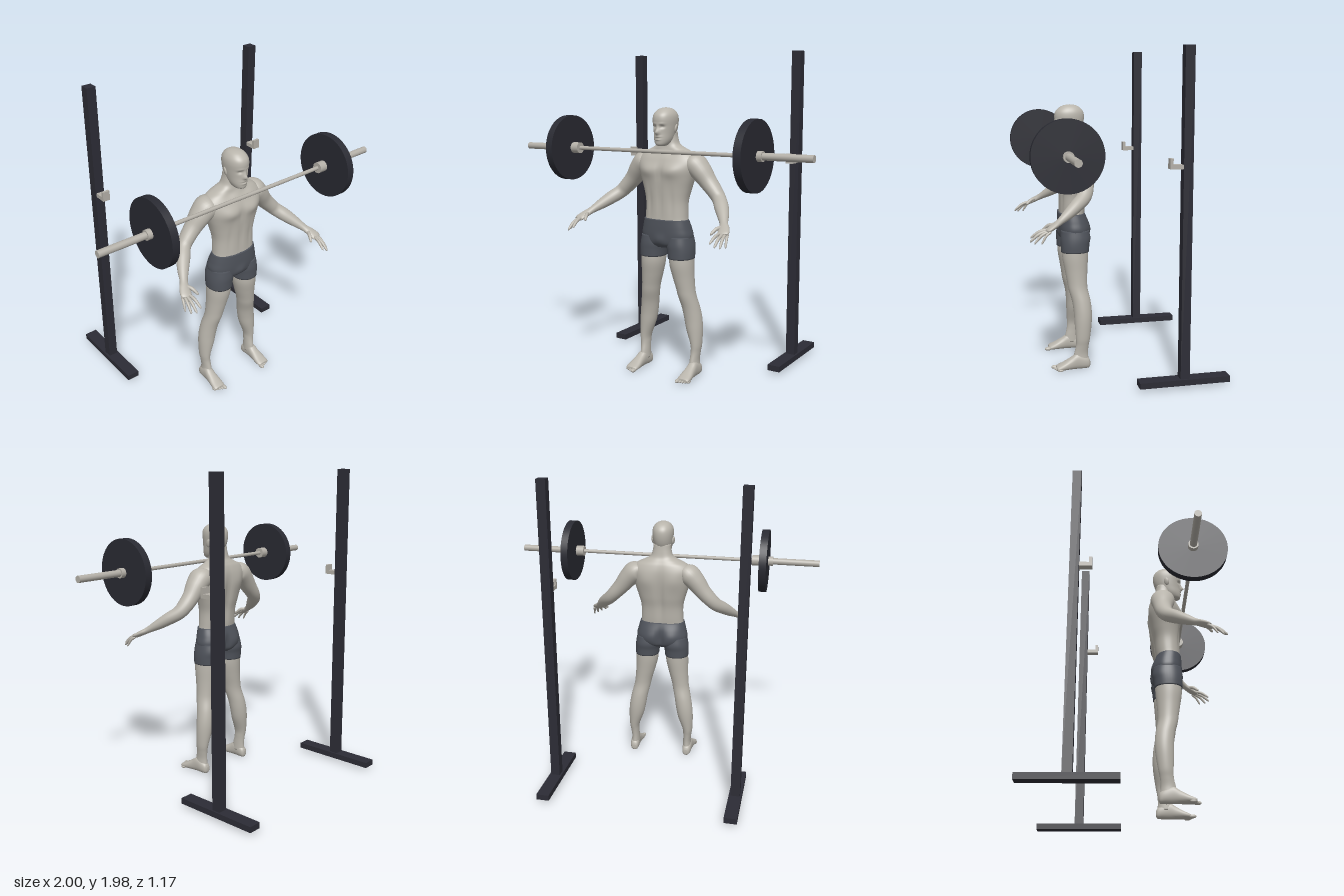
import * as THREE from 'three';

const mat = (name, color) => Object.assign(new THREE.MeshStandardMaterial({ color }), { name });

// Bell-shaped weight, mirrored about x = 0
const bell = (p, cx, cy, sx, sy) =>
  Math.exp(-(((Math.abs(p.x) - cx) / sx) ** 2) - ((p.y - cy) / sy) ** 2);

// Smooth skin through sections [x, y, z, radiusU, radiusV]; axis null follows the path
function loft(secs, { axis = null, n = 2, rows = 6, seg = 24, bump = null } = {}) {
  const curve = (f) => new THREE.CatmullRomCurve3(secs.map(f), false, 'catmullrom', 0.5);
  const centre = curve((s) => new THREE.Vector3(s[0], s[1], s[2]));
  const radius = curve((s) => new THREE.Vector3(s[3], s[4], 0));
  const total = (secs.length - 1) * rows;
  const pos = [], idx = [];
  const e = (v) => Math.sign(v) * Math.abs(v) ** (2 / n);
  for (let i = 0; i <= total; i++) {
    const c = centre.getPoint(i / total), r = radius.getPoint(i / total);
    const w = axis ? axis.clone() : centre.getTangent(i / total);
    const u = new THREE.Vector3(1, 0, 0).addScaledVector(w, -w.x).normalize();
    const v = u.clone().cross(w);
    for (let j = 0; j < seg; j++) {
      const t = (j / seg) * Math.PI * 2, f = Math.sin(t);
      const p = c.clone().addScaledVector(u, r.x * e(Math.cos(t))).addScaledVector(v, r.y * e(f));
      if (bump) p.z += bump(p, Math.max(0, f), Math.max(0, -f));
      pos.push(p.x, p.y, p.z);
      if (i < total) {
        const a = i * seg + j, b = i * seg + ((j + 1) % seg);
        idx.push(a, a + seg, b, b, a + seg, b + seg);
      }
    }
  }
  // End caps
  const first = pos.length / 3, a = centre.getPoint(0), b = centre.getPoint(1);
  pos.push(a.x, a.y, a.z, b.x, b.y, b.z);
  for (let j = 0; j < seg; j++) {
    const k = (j + 1) % seg, o = total * seg;
    idx.push(first, j, k, first + 1, o + k, o + j);
  }
  const g = new THREE.BufferGeometry();
  g.setAttribute('position', new THREE.Float32BufferAttribute(pos, 3));
  g.setIndex(idx);
  g.computeVertexNormals();
  return g;
}

const UP = new THREE.Vector3(0, 1, 0), FWD = new THREE.Vector3(0, 0, 1);
// Level section from height, centre x, half width, back z, front z
const level = ([y, x, rx, zb, zf]) => [x, y, (zb + zf) / 2, rx, (zf - zb) / 2];

export function createModel() {
  const model = new THREE.Group();
  const skin = mat('skin', 0xb9b5ac), cloth = mat('shorts cloth', 0x4f535b);
  const rackPaint = mat('rack paint', 0x2c2c35), rubber = mat('plate rubber', 0x292a32);
  const steel = mat('steel', 0xb3afa7);

  const add = (parent, name, geo, material, x = 0, y = 0, z = 0) => {
    const m = new THREE.Mesh(geo, material);
    m.name = name;
    m.position.set(x, y, z);
    parent.add(m);
    return m;
  };
  const group = (name) => {
    const g = new THREE.Group();
    g.name = name;
    model.add(g);
    return g;
  };
  const box = (w, h, d) => new THREE.BoxGeometry(w, h, d);
  const rod = (r, len, sides = 32) => new THREE.CylinderGeometry(r, r, len, sides).rotateZ(Math.PI / 2);

  // Squat stands
  const rack = group('rack');
  for (const s of [-1, 1]) {
    add(rack, 'standFoot', box(0.08, 0.036, 0.55), rackPaint, s * 0.59, 0.036, -0.31);
    add(rack, 'upright', box(0.058, 1.93, 0.056), rackPaint, s * 0.59, 1.015, -0.31);
    add(rack, 'hookArm', box(0.046, 0.025, 0.076), steel, s * 0.59, 1.308, -0.245);
    add(rack, 'hookLip', box(0.046, 0.06, 0.018), steel, s * 0.59, 1.326, -0.214);
  }

  // Barbell
  const barbell = group('barbell');
  barbell.position.set(0, 1.385, 0.38);
  add(barbell, 'bar', rod(0.012, 1.24, 20), steel);
  for (const s of [-1, 1]) {
    add(barbell, 'sleeve', rod(0.021, 0.4), steel, s * 0.8);
    add(barbell, 'innerCollar', rod(0.034, 0.052), steel, s * 0.596);
    add(barbell, 'outerCollar', rod(0.03, 0.03), steel, s * 0.69);
    add(barbell, 'weightPlate', rod(0.202, 0.047, 64), rubber, s * 0.65);
  }

  const body = group('figure');

  // Head with brow, nose, eye sockets, mouth and chin pushed in or out
  add(body, 'head', loft([
    [1.414, 0, 0.02, 0.285, 0.34], [1.424, 0, 0.036, 0.255, 0.353], [1.45, 0, 0.05, 0.225, 0.356],
    [1.49, 0, 0.059, 0.195, 0.354], [1.53, 0, 0.065, 0.18, 0.356], [1.57, 0, 0.068, 0.176, 0.36],
    [1.6, 0, 0.063, 0.183, 0.352], [1.624, 0, 0.047, 0.204, 0.327], [1.636, 0, 0.026, 0.23, 0.3],
    [1.641, 0, 0.002, 0.263, 0.267],
  ].map(level), {
    axis: UP, n: 2.15, seg: 72, rows: 8,
    bump: (p, f) => f * (0.022 * bell(p, 0, 1.494, 0.012, 0.014) + 0.01 * bell(p, 0, 1.515, 0.009, 0.02)
      - 0.011 * bell(p, 0.027, 1.528, 0.014, 0.01) + 0.004 * bell(p, 0.026, 1.545, 0.02, 0.007)
      + 0.006 * bell(p, 0, 1.468, 0.02, 0.006) - 0.005 * bell(p, 0, 1.461, 0.02, 0.003)
      + 0.006 * bell(p, 0, 1.453, 0.017, 0.005)),
  }), skin);

  // Neck, shoulders, chest and waist
  add(body, 'torso', loft([
    [0.955, 0, 0.143, 0.186, 0.338], [1.0, 0, 0.14, 0.18, 0.337], [1.08, 0, 0.14, 0.172, 0.337],
    [1.15, 0, 0.156, 0.157, 0.34], [1.22, 0, 0.178, 0.147, 0.345], [1.28, 0, 0.195, 0.143, 0.345],
    [1.33, 0, 0.2, 0.145, 0.328], [1.37, 0, 0.168, 0.155, 0.308], [1.395, 0, 0.118, 0.168, 0.296],
    [1.42, 0, 0.075, 0.182, 0.291], [1.46, 0, 0.06, 0.19, 0.29], [1.5, 0, 0.056, 0.195, 0.29],
  ].map(level), {
    axis: UP, n: 2.4, seg: 72,
    bump: (p, f, b) => f * (0.016 * bell(p, 0.085, 1.265, 0.06, 0.04) - 0.007 * bell(p, 0, 1.26, 0.014, 0.06)
      - 0.006 * bell(p, 0, 1.08, 0.012, 0.1) - 0.006 * bell(p, 0.075, 1.08, 0.015, 0.09)
      - 0.008 * bell(p, 0.06, 1.375, 0.04, 0.02))
      + b * (0.016 * bell(p, 0, 1.15, 0.022, 0.17) - 0.01 * bell(p, 0.1, 1.27, 0.06, 0.06)),
  }), skin);

  // Shorts
  add(body, 'shortsSeat', loft([
    [0.8, 0, 0.07, 0.19, 0.32], [0.825, 0, 0.15, 0.163, 0.34], [0.87, 0, 0.17, 0.156, 0.346],
    [0.92, 0, 0.161, 0.163, 0.347], [0.972, 0, 0.147, 0.182, 0.345],
  ].map(level), {
    axis: UP, n: 2.4, seg: 64, rows: 8,
    bump: (p, f, b) => b * (0.022 * bell(p, 0, 0.86, 0.02, 0.06) - 0.011 * bell(p, 0.08, 0.87, 0.05, 0.05))
      + f * 0.01 * bell(p, 0, 0.85, 0.03, 0.03),
  }), cloth);

  for (const s of [-1, 1]) {
    add(body, 'shortsLeg', loft([
      [0.735, s * 0.101, 0.078, 0.168, 0.341], [0.78, s * 0.099, 0.081, 0.164, 0.343],
      [0.82, s * 0.094, 0.083, 0.157, 0.344], [0.87, s * 0.09, 0.078, 0.165, 0.338],
    ].map(level), { axis: UP, n: 2.2, seg: 40 }), cloth);

    add(body, 'leg', loft([
      [0.05, s * 0.185, 0.029, 0.187, 0.29], [0.1, s * 0.184, 0.026, 0.191, 0.278],
      [0.15, s * 0.187, 0.028, 0.187, 0.267], [0.2, s * 0.188, 0.034, 0.178, 0.267],
      [0.29, s * 0.173, 0.051, 0.165, 0.272], [0.36, s * 0.163, 0.056, 0.162, 0.275],
      [0.43, s * 0.151, 0.056, 0.168, 0.284], [0.5, s * 0.135, 0.056, 0.182, 0.302],
      [0.55, s * 0.126, 0.058, 0.184, 0.31], [0.62, s * 0.114, 0.066, 0.18, 0.322],
      [0.7, s * 0.104, 0.075, 0.174, 0.335], [0.78, s * 0.1, 0.074, 0.172, 0.334],
    ].map(level), { axis: UP, seg: 36 }), skin);

    // Foot and toes
    add(body, 'foot', loft([
      [0.178, 0.03, 0.012, 0.015], [0.188, 0.034, 0.024, 0.032], [0.215, 0.042, 0.03, 0.042],
      [0.26, 0.05, 0.031, 0.05], [0.3, 0.038, 0.034, 0.038], [0.345, 0.025, 0.04, 0.025],
      [0.38, 0.017, 0.04, 0.016], [0.392, 0.015, 0.032, 0.011],
    ].map(([z, y, rx, ry], i) => [s * (0.184 + i * 0.0013), y, z, rx, ry]), { axis: FWD, n: 2.3 }), skin);
    for (let i = 0; i < 5; i++) {
      const big = i === 0, r = big ? 0.012 : 0.0085;
      const toe = add(body, 'toe', new THREE.SphereGeometry(r, 14, 10), skin,
        s * (0.163 + i * 0.0158), r, 0.398 - i * 0.007);
      toe.scale.z = big ? 2 : 2.2;
    }

    // Arm from shoulder through elbow to palm
    const side = (list) => list.map(([x, ...rest]) => [s * x, ...rest]);
    add(body, 'arm', loft(side([
      [0.13, 1.325, 0.23, 0.035, 0.06], [0.175, 1.31, 0.227, 0.068, 0.076], [0.22, 1.268, 0.225, 0.064, 0.07],
      [0.27, 1.205, 0.222, 0.053, 0.056], [0.32, 1.15, 0.228, 0.046, 0.05], [0.358, 1.11, 0.245, 0.042, 0.043],
      [0.4, 1.073, 0.293, 0.042, 0.039], [0.44, 1.035, 0.345, 0.034, 0.031], [0.475, 1.0, 0.398, 0.024, 0.02],
      [0.495, 0.98, 0.432, 0.031, 0.017], [0.511, 0.96, 0.468, 0.034, 0.014], [0.518, 0.951, 0.483, 0.026, 0.009],
    ]), { seg: 28 }), skin);

    // Fingers: base, tip, thickness
    const fingers = [
      ['thumb', [0.482, 0.985, 0.425], [0.446, 0.948, 0.498], 0.0105],
      ['indexFinger', [0.497, 0.962, 0.468], [0.483, 0.912, 0.57], 0.009],
      ['middleFinger', [0.511, 0.957, 0.472], [0.515, 0.896, 0.575], 0.009],
      ['ringFinger', [0.524, 0.954, 0.47], [0.537, 0.888, 0.553], 0.0085],
      ['littleFinger', [0.534, 0.953, 0.46], [0.552, 0.888, 0.515], 0.0075],
    ];
    for (const [name, a, b, r] of fingers) {
      const secs = [[0, 1], [0.5, 1.05], [0.88, 0.8], [0.97, 0.5], [1, 0.05]].map(([t, k]) => {
        const p = a.map((v, i) => v + (b[i] - v) * t);
        p[1] += 0.012 * Math.sin(t * Math.PI); // natural curl
        return [...p, r * k, r * k];
      });
      add(body, name, loft(side(secs), { seg: 12, rows: 4 }), skin);
    }

    // Ear
    const ear = add(body, 'ear', new THREE.SphereGeometry(1, 18, 12), skin, s * 0.068, 1.517, 0.262);
    ear.scale.set(0.008, 0.027, 0.017);
    ear.rotation.set(-0.15, s * 0.35, -s * 0.15);
  }
  return model;
}
